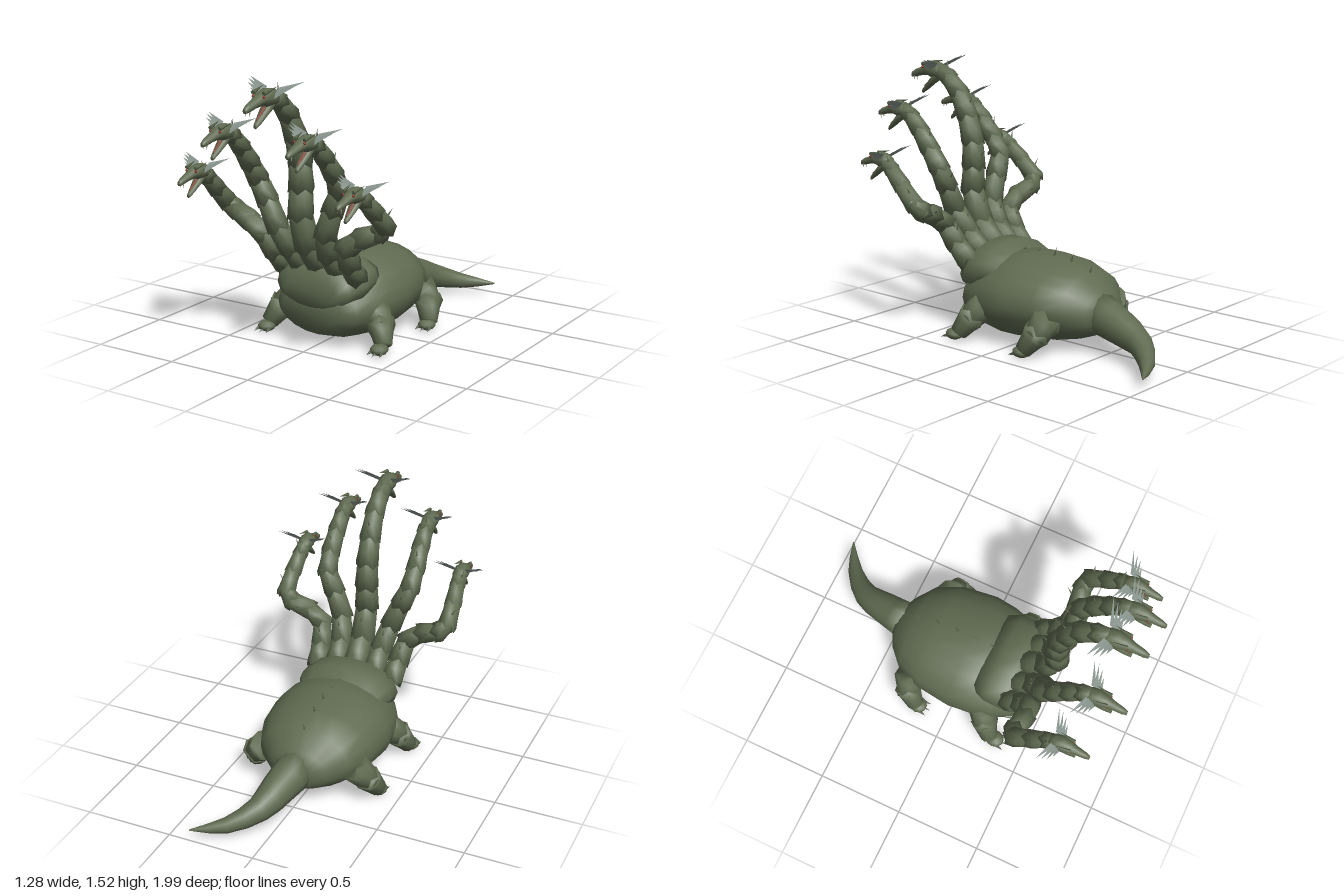
import * as THREE from 'three';

const mat = (name, color, side = THREE.FrontSide) => {
  const m = new THREE.MeshStandardMaterial({ color, side });
  m.name = name;
  return m;
};
const V = (x, y, z) => new THREE.Vector3(x, y, z);

// Skin a list of equal-length rings and close both ends
function skin(rings) {
  const n = rings[0].length, last = rings.length - 1, pos = [], idx = [];
  rings.forEach(r => r.forEach(p => pos.push(p.x, p.y, p.z)));
  for (const r of [rings[0], rings[last]]) {
    const c = V(0, 0, 0);
    r.forEach(p => c.addScaledVector(p, 1 / n));
    pos.push(c.x, c.y, c.z);
  }
  const start = rings.length * n;
  for (let j = 0; j < n; j++) {
    const k = (j + 1) % n;
    for (let i = 0; i < last; i++) {
      const a = i * n + j, b = i * n + k;
      idx.push(a, b, a + n, b, b + n, a + n);
    }
    idx.push(start, k, j, start + 1, last * n + j, last * n + k);
  }
  const g = new THREE.BufferGeometry();
  g.setAttribute('position', new THREE.Float32BufferAttribute(pos, 3));
  g.setIndex(idx);
  g.computeVertexNormals();
  return g;
}

// Ellipse sections [z, yLow, yHigh, halfWidth] running towards +z
function loftZ(sections, n) {
  return skin(sections.map(([z, lo, hi, rx]) => Array.from({ length: n }, (_, j) => {
    const a = j / n * Math.PI * 2;
    return V(Math.cos(a) * rx, (lo + hi) / 2 + Math.sin(a) * (hi - lo) / 2, z);
  })));
}

// Frames carried along a path without twisting
function frames(pts) {
  let u = V(1, 0, 0);
  return pts.map((p, i) => {
    const t = pts[Math.min(i + 1, pts.length - 1)].clone().sub(pts[Math.max(i - 1, 0)]).normalize();
    u = u.clone().addScaledVector(t, -u.dot(t)).normalize();
    return { p, t, u, v: t.clone().cross(u) };
  });
}

// Ring round a frame; ragged moves alternate points along the path
function ring({ p, t, u, v }, r, n, shift = 0, ragged = 0) {
  return Array.from({ length: n }, (_, j) => {
    const a = j / n * Math.PI * 2;
    return p.clone().addScaledVector(u, Math.cos(a) * r).addScaledVector(v, Math.sin(a) * r)
      .addScaledVector(t, shift + (j % 2 ? ragged : -ragged));
  });
}

export function createModel() {
  const hide = mat('olive hide', 0x606b51);
  const horn = mat('pale horn', 0x8b9890, THREE.DoubleSide);
  const claw = mat('grey claw', 0x5c665a);
  const eyeRed = mat('red eye', 0x8c2a1c);
  const mouth = mat('mouth brown', 0x80503f);
  const ivory = mat('tooth ivory', 0xb5b098);
  const model = new THREE.Group();
  model.name = 'manyHeadedBeast';

  const add = (parent, name, geo, m) => {
    const mesh = new THREE.Mesh(geo, m);
    mesh.name = name;
    parent.add(mesh);
    return mesh;
  };
  const spike = (parent, name, from, to, r, m) => {
    const d = to.clone().sub(from), len = d.length();
    const s = add(parent, name, new THREE.ConeGeometry(r, len, 5), m);
    s.position.copy(from).addScaledVector(d, 0.5);
    s.quaternion.setFromUnitVectors(V(0, 1, 0), d.normalize());
  };
  const group = name => {
    const g = new THREE.Group();
    g.name = name;
    model.add(g);
    return g;
  };

  // Overlapping scaly sleeves along a limb, each with a ragged lower rim
  function sleeves(parent, name, pts, radius, spines) {
    const f = frames(pts), count = pts.length - 1;
    for (let i = 0; i < count; i++) {
      const r0 = radius(i / count), r1 = radius((i + 1) / count);
      const mid = { ...f[i], p: pts[i].clone().lerp(pts[i + 1], 0.45) };
      add(parent, name, skin([
        ring(f[i], r0 * 1.12, 10, -0.014, 0.016), ring(mid, (r0 + r1) * 0.52, 10),
        ring(f[i + 1], r1 * 0.97, 10, 0.014),
      ]), hide);
      if (spines && i % 2) {
        const base = mid.p.clone().addScaledVector(f[i].v, r0 * 0.9);
        spike(parent, 'neckSpine', base,
          base.clone().addScaledVector(f[i].v, 0.035).addScaledVector(f[i].t, 0.03), 0.006, hide);
      }
    }
  }

  // Body and chest
  add(model, 'body', loftZ([
    [-0.48, 0.13, 0.30, 0.09], [-0.44, 0.10, 0.34, 0.17], [-0.35, 0.065, 0.43, 0.27],
    [-0.2, 0.03, 0.475, 0.335], [0, 0.01, 0.49, 0.36], [0.13, 0.005, 0.485, 0.345],
    [0.25, 0.025, 0.43, 0.315], [0.36, 0.065, 0.37, 0.26], [0.415, 0.13, 0.32, 0.19],
  ], 20), hide);
  add(model, 'chest', loftZ([
    [0.12, 0.3, 0.48, 0.25], [0.2, 0.25, 0.525, 0.285], [0.31, 0.21, 0.53, 0.285],
    [0.4, 0.22, 0.46, 0.235], [0.435, 0.25, 0.4, 0.17],
  ], 16), hide);

  // Curved tail
  const tailPath = new THREE.CatmullRomCurve3([
    V(0.01, 0.22, -0.42), V(0.045, 0.175, -0.6), V(0.085, 0.13, -0.75),
    V(0.21, 0.08, -0.89), V(0.38, 0.065, -0.99)]);
  const tailR = [0.115, 0.105, 0.095, 0.085, 0.071, 0.058, 0.044, 0.026, 0.004];
  add(model, 'tail', skin(frames(tailPath.getPoints(8)).map((f, i) => ring(f, tailR[i], 12))), hide);

  // Spines on the back
  for (const [z, y] of [[0.13, 0.48], [0.03, 0.48], [-0.09, 0.475], [-0.21, 0.46], [-0.34, 0.415]])
    spike(model, 'backSpine', V(0, y, z), V(0, y + (z > 0 ? 0.02 : 0.06), z - 0.025), 0.009, hide);

  // Legs with feet and claws
  for (const s of [-1, 1]) {
    for (const [name, path, foot] of [
      ['frontLeg', [[0.265, 0.2, 0.19], [0.33, 0.14, 0.235], [0.37, 0.06, 0.28]], [0.37, 0.037, 0.32]],
      ['rearLeg', [[0.285, 0.2, -0.275], [0.345, 0.14, -0.255], [0.375, 0.06, -0.2]], [0.375, 0.037, -0.18]],
    ]) {
      const leg = group(name);
      sleeves(leg, name + 'Scales', path.map(([x, y, z]) => V(s * x, y, z)), t => 0.08 - 0.03 * t * t, false);
      const f = V(s * foot[0], foot[1], foot[2]);
      const pad = add(leg, 'foot', new THREE.SphereGeometry(1, 10, 7), hide);
      pad.scale.set(0.05, 0.032, 0.055);
      pad.position.copy(f);
      for (const k of [-1, 0, 1]) {
        const tip = f.clone().add(V(k * 0.04, -0.02, 0.06 - Math.abs(k) * 0.01));
        spike(leg, 'toe', f.clone().add(V(k * 0.026, 0, 0.01)), tip, 0.02, hide);
        spike(leg, 'claw', f.clone().add(V(k * 0.034, -0.008, 0.035)), tip.add(V(0, -0.002, 0.018)), 0.008, claw);
      }
    }
  }

  // Ear frill: a fan of tilted thin blades on one side
  function frillGeometry(s) {
    const tips = [[0.17, 0.072, -0.065], [0.162, 0.066, -0.035], [0.145, 0.052, -0.005], [0.11, 0.03, 0.02]];
    const pos = [];
    tips.forEach(([x, y, z], i) => pos.push(
      s * 0.036, 0.036 - i * 0.008, -0.025 + i * 0.014, s * x, y, z,
      s * 0.042, 0.004 - i * 0.008, 0.0 + i * 0.014));
    const g = new THREE.BufferGeometry();
    g.setAttribute('position', new THREE.Float32BufferAttribute(pos, 3));
    g.computeVertexNormals();
    return g;
  }

  // Head with open jaws
  function addHead(at, scale) {
    const head = group('head');
    head.position.copy(at);
    head.scale.setScalar(scale);
    add(head, 'skull', loftZ([
      [-0.045, -0.055, 0.015, 0.036], [-0.01, -0.06, 0.034, 0.049], [0.04, -0.058, 0.04, 0.052],
      [0.085, -0.045, 0.027, 0.04], [0.13, -0.05, 0.003, 0.028], [0.185, -0.063, -0.018, 0.021],
      [0.215, -0.066, -0.036, 0.012],
    ], 10), hide);
    add(head, 'lowerJaw', loftZ([
      [0.0, -0.07, -0.01, 0.038], [0.05, -0.1, -0.05, 0.033],
      [0.095, -0.133, -0.095, 0.023], [0.13, -0.155, -0.128, 0.012],
    ], 8), hide);
    add(head, 'tongue', loftZ([
      [0.045, -0.058, -0.044, 0.014], [0.085, -0.092, -0.08, 0.011], [0.118, -0.116, -0.106, 0.005],
    ], 6), mouth);
    for (const s of [-1, 1]) {
      add(head, 'frill', frillGeometry(s), horn);
      const eye = add(head, 'eye', new THREE.SphereGeometry(0.008, 8, 6), eyeRed);
      eye.position.set(s * 0.033, 0.004, 0.098);
      spike(head, 'brow', V(s * 0.033, 0.022, 0.1), V(s * 0.046, 0.045, 0.0), 0.013, hide);
      spike(head, 'upperTooth', V(s * 0.012, -0.056, 0.19), V(s * 0.012, -0.083, 0.19), 0.005, ivory);
    }
  }

  // Necks: joints, base and end radius, head position and size
  const addNeck = (path, s, r0, r1, at, scale) => {
    sleeves(group('neck'), 'neckScales', path.map(([x, y, z]) => V(s * x, y, z)), t => r0 + (r1 - r0) * t * t, true);
    addHead(V(s * at[0], at[1], at[2]), scale);
  };
  addNeck([[0, 0.46, 0.34], [0, 0.6, 0.46], [0, 0.78, 0.515], [0, 0.92, 0.505], [0, 1.06, 0.51],
    [0, 1.2, 0.55], [0, 1.33, 0.615], [0, 1.41, 0.7], [0, 1.44, 0.76]], 1, 0.067, 0.042, [0, 1.45, 0.77], 1);
  for (const s of [-1, 1]) {
    addNeck([[0.12, 0.45, 0.34], [0.125, 0.56, 0.44], [0.155, 0.69, 0.51], [0.21, 0.83, 0.52],
      [0.26, 0.94, 0.53], [0.265, 1.04, 0.595], [0.262, 1.14, 0.675], [0.26, 1.215, 0.75], [0.26, 1.24, 0.79]],
      s, 0.06, 0.039, [0.26, 1.25, 0.8], 0.92);
    addNeck([[0.235, 0.43, 0.34], [0.245, 0.52, 0.42], [0.265, 0.625, 0.48], [0.36, 0.69, 0.485],
      [0.465, 0.73, 0.465], [0.508, 0.775, 0.485], [0.503, 0.87, 0.585], [0.495, 0.95, 0.67], [0.49, 0.985, 0.715]],
      s, 0.058, 0.038, [0.49, 1.0, 0.72], 0.88);
  }
  return model;
}
